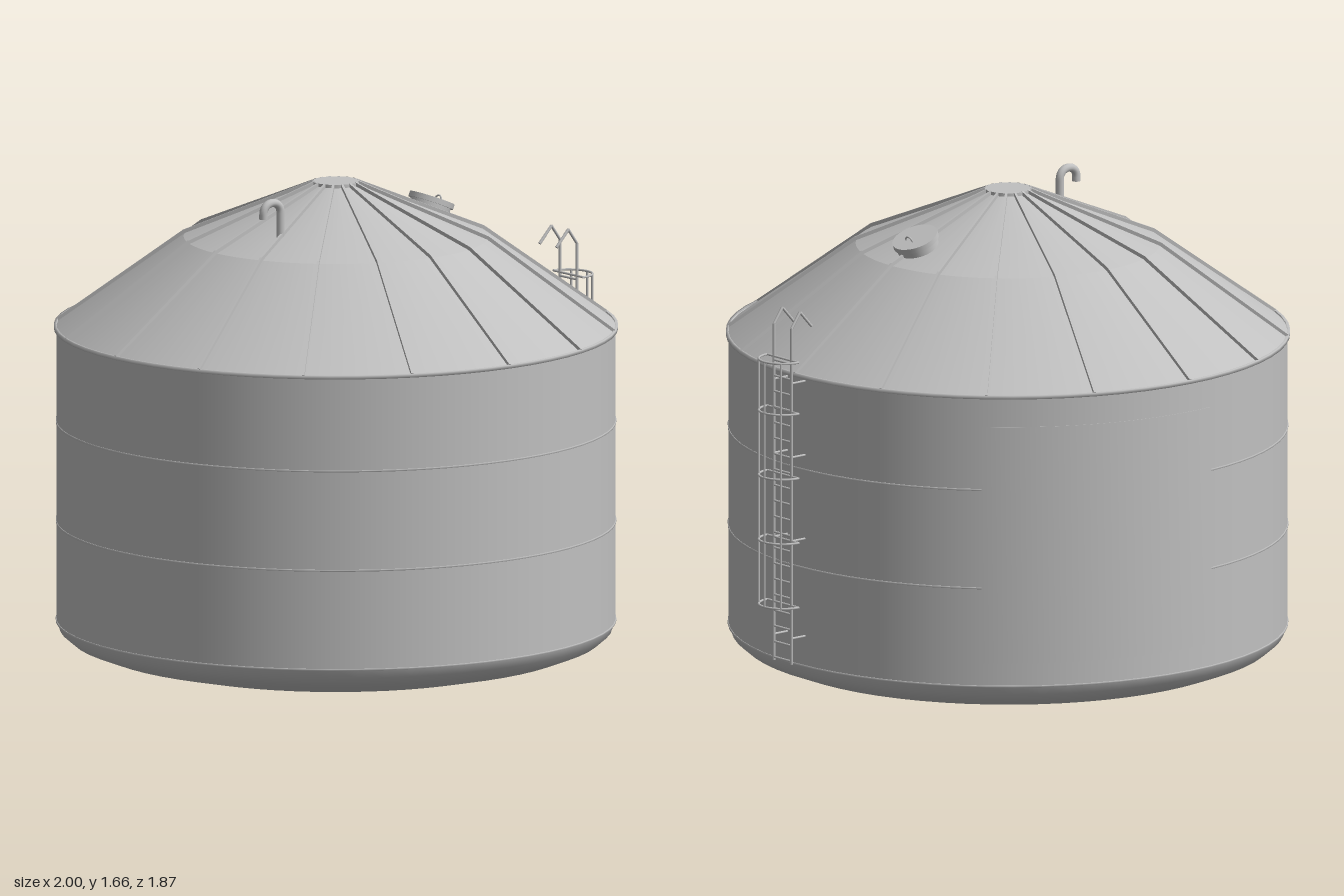
import * as THREE from 'three';

const V = (x, y, z) => new THREE.Vector3(x, y, z);

export function createModel() {
  const model = new THREE.Group();
  model.name = 'storageTank';
  const steel = new THREE.MeshStandardMaterial({ color: 0xc0c0c0, side: THREE.DoubleSide });
  steel.name = 'galvanised steel';

  const add = (parent, name, geometry) => {
    const mesh = new THREE.Mesh(geometry, steel);
    mesh.name = name;
    parent.add(mesh);
    return mesh;
  };
  const group = (parent, name) => {
    const g = new THREE.Group();
    g.name = name;
    parent.add(g);
    return g;
  };
  const lathe = (pts, start = 0, length = Math.PI * 2) =>
    new THREE.LatheGeometry(pts.map(p => new THREE.Vector2(p[0], p[1])), 64, start, length);
  // Straight round bar between two points
  const bar = (parent, name, a, b, r) => {
    const m = add(parent, name, new THREE.CylinderGeometry(r, r, a.distanceTo(b), 8));
    m.position.copy(a).add(b).multiplyScalar(0.5);
    m.quaternion.setFromUnitVectors(V(0, 1, 0), b.clone().sub(a).normalize());
    return m;
  };

  // Tank body, centred a little to the right to leave room for the ladder
  const tank = group(model, 'tank');
  tank.position.x = -0.065;
  const R = 0.926;
  add(tank, 'dishedBottom', lathe([[0.08, 0.002], [0.25, 0.01], [0.45, 0.03], [0.65, 0.06],
    [0.8, 0.094], [0.88, 0.125], [0.915, 0.155], [R, 0.186]]));
  add(tank, 'wall', lathe([[R, 0.186], [R, 1.172]]));
  add(tank, 'lowerRoof', lathe([[R, 1.172], [0.505, 1.475]]));
  add(tank, 'upperRoof', lathe([[0.505, 1.475], [0.075, 1.652]]));
  add(tank, 'roofCap', lathe([[0.078, 1.65], [0.078, 1.662]]));
  add(tank, 'roofCapTop', lathe([[0.078, 1.662], [0, 1.662]]));

  // Eaves rim and seams; the middle seams stop at the back panel
  const ring = (y, r, h, start, length) =>
    lathe([[R, y - h / 2], [r, y - h / 2], [r, y + h / 2], [R, y + h / 2]], start, length);
  add(tank, 'eavesRim', ring(1.172, 0.935, 0.012));
  add(tank, 'bottomSeam', ring(0.186, 0.929, 0.006));
  const deg = Math.PI / 180;
  for (const y of [0.52, 0.855]) add(tank, 'wallSeam', ring(y, 0.929, 0.006, 186 * deg, 308 * deg));
  add(tank, 'backPanel', lathe([[R, 0.265], [0.929, 0.265], [0.929, 1.07], [R, 1.07]], 134 * deg, 52 * deg));

  // Radial roof ribs
  const ribShape = new THREE.Shape([[0.07, 1.65], [0.505, 1.47], [0.925, 1.17], [0.932, 1.18],
    [0.51, 1.486], [0.075, 1.664]].map(p => new THREE.Vector2(p[0], p[1])));
  const ribGeometry = new THREE.ExtrudeGeometry(ribShape, { depth: 0.008, bevelEnabled: false });
  ribGeometry.translate(0, 0, -0.004);
  for (let i = 0; i < 16; i++) add(tank, 'roofRib', ribGeometry).rotation.y = i * Math.PI / 8;

  // Roof hatch, tilted with the slope
  const hatch = group(model, 'roofHatch');
  hatch.position.set(0.325, 1.518, 0);
  hatch.rotation.z = -22.5 * deg;
  add(hatch, 'hatchNeck', new THREE.CylinderGeometry(0.07, 0.07, 0.05, 32)).position.y = 0.005;
  add(hatch, 'hatchLid', new THREE.CylinderGeometry(0.078, 0.078, 0.018, 32)).position.y = 0.034;
  const handle = add(hatch, 'hatchHandle', new THREE.TorusGeometry(0.016, 0.003, 6, 12, Math.PI));
  handle.position.set(0.025, 0.043, 0);
  handle.rotation.y = Math.PI / 2;

  // Gooseneck vent pipe
  const path = new THREE.CurvePath();
  path.add(new THREE.LineCurve3(V(-0.402, 1.52, 0.13), V(-0.402, 1.615, 0.13)));
  path.add(new THREE.CubicBezierCurve3(V(-0.402, 1.615, 0.13), V(-0.402, 1.66, 0.13),
    V(-0.474, 1.66, 0.13), V(-0.474, 1.615, 0.13)));
  path.add(new THREE.LineCurve3(V(-0.474, 1.615, 0.13), V(-0.474, 1.598, 0.13)));
  add(model, 'ventPipe', new THREE.TubeGeometry(path, 32, 0.014, 12));

  // Ladder: rails with hooked tops, wall brackets and rungs
  const ladder = group(model, 'ladder');
  const lx = 0.916;
  for (const z of [-0.045, 0.045]) {
    bar(ladder, 'ladderRail', V(lx, 0.2, z), V(lx, 1.345, z), 0.005);
    bar(ladder, 'railHookOuter', V(lx, 1.345, z), V(0.88, 1.395, z), 0.005);
    bar(ladder, 'railHookInner', V(0.88, 1.395, z), V(0.83, 1.34, z), 0.005);
    for (const y of [0.288, 0.62, 0.905, 1.157])
      bar(ladder, 'wallBracket', V(0.85, y, z), V(lx, y, z), 0.004);
  }
  for (let i = 0; i < 20; i++) {
    const y = 0.21 + i * 0.0533;
    bar(ladder, 'rung', V(lx, y, -0.045), V(lx, y, 0.045), 0.004);
  }

  // Safety cage: half hoops joined by three upright bars
  const cage = group(ladder, 'safetyCage');
  for (const y of [0.4, 0.62, 0.84, 1.06, 1.235]) {
    const hoop = add(cage, 'cageHoop', new THREE.TorusGeometry(0.08, 0.004, 6, 20, Math.PI));
    hoop.position.set(lx, y, 0);
    hoop.rotation.set(Math.PI / 2, 0, -Math.PI / 2);
    bar(cage, 'hoopCrossbar', V(lx, y, -0.08), V(lx, y, 0.08), 0.004);
  }
  for (const a of [-45, 0, 45]) {
    const x = lx + 0.08 * Math.cos(a * deg), z = 0.08 * Math.sin(a * deg);
    bar(cage, 'cageUpright', V(x, 0.4, z), V(x, 1.235, z), 0.004);
  }
  return model;
}
